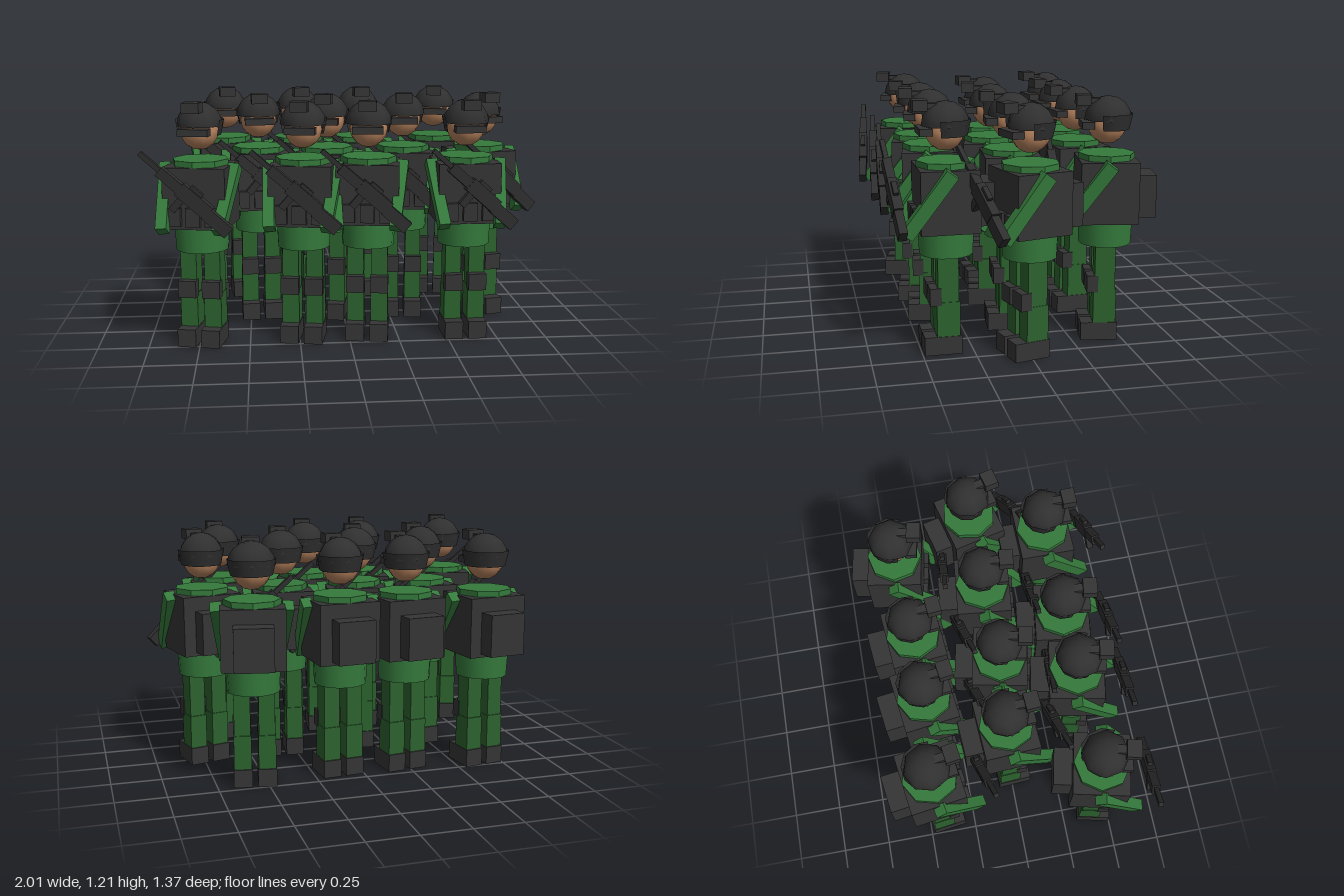
import * as THREE from 'three';

const paint = (name, color, extra = {}) => {
  const m = new THREE.MeshStandardMaterial({ color, ...extra });
  m.name = name;
  return m;
};
const jacket = paint('jacket green', 0x357a3c, { flatShading: true });
const hipCloth = paint('hip green', 0x357a3c);
const trousers = paint('trouser green', 0x2c622e, { flatShading: true });
const gear = paint('gear grey', 0x353535, { flatShading: true });
const helmetGrey = paint('helmet grey', 0x303030, { side: THREE.DoubleSide });
const rifleGrey = paint('rifle grey', 0x2e2e2e, { flatShading: true });
const skin = paint('skin', 0xb8845f);

function add(parent, name, geo, mat, x = 0, y = 0, z = 0) {
  const m = new THREE.Mesh(geo, mat);
  m.name = name;
  m.position.set(x, y, z);
  parent.add(m);
  return m;
}
const box = (w, h, d) => new THREE.BoxGeometry(w, h, d);
const cyl = (rt, rb, h, n) => new THREE.CylinderGeometry(rt, rb, h, n);

function makeRifle() {
  const g = new THREE.Group();
  g.name = 'rifle';
  // muzzle points to -x before the whole rifle is tilted
  add(g, 'barrel', box(0.2, 0.024, 0.024), rifleGrey, -0.185, 0.004, 0);
  add(g, 'handguard', box(0.13, 0.05, 0.042), rifleGrey, -0.1, 0, 0);
  add(g, 'receiver', box(0.18, 0.07, 0.046), rifleGrey, 0.05, 0, 0);
  add(g, 'stock', box(0.14, 0.062, 0.04), rifleGrey, 0.2, -0.008, 0);
  add(g, 'sight', box(0.07, 0.02, 0.025), rifleGrey, 0.03, 0.042, 0);
  add(g, 'magazine', box(0.035, 0.08, 0.03), rifleGrey, 0, -0.065, 0);
  g.position.set(0, 0.8, 0.25);
  g.rotation.set(0, 0.1, -0.72);
  return g;
}

function makeHead() {
  const g = new THREE.Group();
  g.name = 'head';
  add(g, 'face', new THREE.SphereGeometry(0.094, 12, 8), skin, 0, 1.066, 0);
  const dome = add(g, 'helmetDome',
    new THREE.SphereGeometry(0.116, 8, 4, 0, Math.PI * 2, 0, Math.PI / 2), helmetGrey, 0, 1.09, -0.003);
  // neck guard is open at the front
  add(g, 'neckGuard', new THREE.CylinderGeometry(0.119, 0.102, 0.078, 7, 1, true,
    THREE.MathUtils.degToRad(68), THREE.MathUtils.degToRad(224)), helmetGrey, 0, 1.083, -0.005);
  // raised optic and its arm
  add(g, 'optic', box(0.085, 0.05, 0.07), gear, 0, 1.188, 0.12);
  add(g, 'opticArm', box(0.04, 0.024, 0.07), gear, 0, 1.183, 0.06);
  add(g, 'goggles', box(0.15, 0.034, 0.06), gear, 0, 1.068, 0.1);
  return g;
}

function makeSoldier() {
  const g = new THREE.Group();
  for (const s of [-1, 1]) {
    const x = s * 0.06;
    add(g, 'boot', box(0.092, 0.09, 0.18), gear, x, 0.045, 0.034);
    add(g, 'shin', box(0.086, 0.17, 0.112), trousers, x, 0.175, 0.008);
    add(g, 'thigh', box(0.08, 0.24, 0.1), trousers, x, 0.38, 0.008);
    add(g, 'kneePad', box(0.09, 0.085, 0.055), gear, x, 0.288, 0.069);
    // arms slope forward, down and slightly inward to the rifle
    const arm = add(g, 'arm', box(0.055, 0.36, 0.065), jacket, s * 0.155, 0.75, 0.102);
    arm.rotation.set(-0.63, 0, s * -0.1);
  }
  add(g, 'hips', cyl(0.136, 0.13, 0.13, 16), hipCloth, 0, 0.545, 0);
  add(g, 'torso', cyl(0.14, 0.135, 0.33, 8), jacket, 0, 0.765, 0);
  add(g, 'vest', box(0.31, 0.3, 0.28), gear, 0, 0.751, 0);
  for (const x of [-0.095, 0, 0.095])
    add(g, 'pouch', box(0.07, 0.09, 0.03), gear, x, 0.665, 0.15);
  add(g, 'backpack', box(0.19, 0.21, 0.095), gear, 0, 0.725, -0.185);
  g.add(makeHead(), makeRifle());
  return g;
}

// x, z and heading of each soldier, in three ranks
const ranks = [
  [[-0.635, -0.44, 0.14], [-0.225, -0.402, 0.13], [0.115, -0.403, 0.09], [0.56, -0.433, -0.17]],
  [[-0.445, -0.025, 0.06], [-0.085, 0.012, -0.2], [0.322, -0.006, -0.1], [0.735, -0.006, 0.24]],
  [[-0.727, 0.397, -0.22], [-0.225, 0.38, -0.18], [0.1, 0.37, -0.14], [0.587, 0.368, 0.01]],
];

export function createModel() {
  const squad = new THREE.Group();
  squad.name = 'squad';
  const soldier = makeSoldier();
  for (const rank of ranks) {
    for (const [x, z, turn] of rank) {
      const s = soldier.clone();
      s.name = 'soldier';
      s.position.set(x, 0, z);
      s.rotation.y = turn;
      squad.add(s);
    }
  }
  return squad;
}
